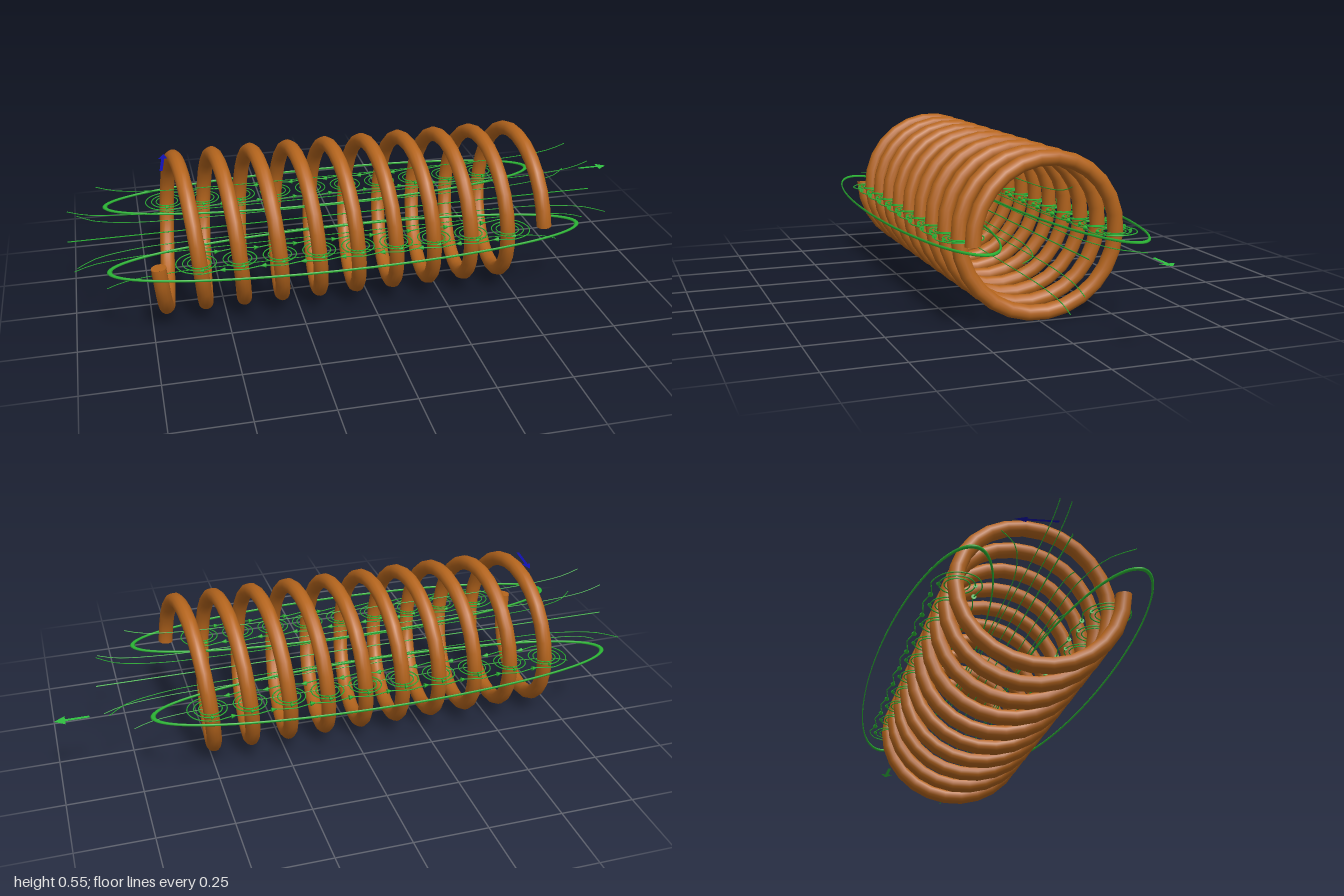
import * as THREE from 'three';

const CY = 0.275;            // height of the coil axis
const PITCH = 0.13, TURNS = 10, START = -0.72;
const R = 0.25, WIRE = 0.025;

const copper = new THREE.MeshStandardMaterial({ color: 0xb5651d });
const green = new THREE.MeshStandardMaterial({ color: 0x2bb535 });
const blue = new THREE.MeshStandardMaterial({ color: 0x1010b0, side: THREE.DoubleSide });
const sheetGreen = new THREE.MeshStandardMaterial({ color: 0x2fc040, side: THREE.DoubleSide });

class Helix extends THREE.Curve {
  getPoint(t, target = new THREE.Vector3()) {
    const a = t * TURNS * Math.PI * 2;
    return target.set(START + PITCH * TURNS * t, CY - R * Math.sin(a), R * Math.cos(a));
  }
}

function add(parent, name, geometry, material) {
  const mesh = new THREE.Mesh(geometry, material);
  mesh.name = name;
  parent.add(mesh);
  return mesh;
}

// thin tube through [x, y, z] points
function line(parent, name, points, closed = false, radius = 0.002) {
  const curve = new THREE.CatmullRomCurve3(points.map(p => new THREE.Vector3(...p)), closed);
  return add(parent, name, new THREE.TubeGeometry(curve, points.length * 6, radius, 5, closed), green);
}

// small cone pointing along +x (dir 1) or -x (dir -1)
function arrowhead(parent, x, z, dir, size = 0.02) {
  const cone = add(parent, 'arrowhead', new THREE.ConeGeometry(size * 0.42, size, 8), green);
  cone.position.set(x, CY, z);
  cone.rotation.z = -dir * Math.PI / 2;
}

// flat arrow lying in the xz plane, pointing along +x
function flatArrow(parent, name, length, width, shaft, head, material) {
  const s = new THREE.Shape();
  const h = length / 2;
  s.moveTo(-h, -shaft / 2);
  s.lineTo(h - head, -shaft / 2);
  s.lineTo(h - head, -width / 2);
  s.lineTo(h, 0);
  s.lineTo(h - head, width / 2);
  s.lineTo(h - head, shaft / 2);
  s.lineTo(-h, shaft / 2);
  s.closePath();
  const geometry = new THREE.ShapeGeometry(s).rotateX(-Math.PI / 2);
  return add(parent, name, geometry, material);
}

function createCoil() {
  const coil = new THREE.Group();
  coil.name = 'coil';
  const helix = new Helix();
  add(coil, 'coilWire', new THREE.TubeGeometry(helix, TURNS * 26, WIRE, 14, false), copper);
  // flat ends of the wire
  for (const t of [0, 1]) {
    const cap = add(coil, 'wireEnd', new THREE.CircleGeometry(WIRE, 14), copper);
    const p = helix.getPoint(t);
    const out = helix.getTangent(t).multiplyScalar(t ? 1 : -1);
    cap.position.copy(p);
    cap.quaternion.setFromUnitVectors(new THREE.Vector3(0, 0, 1), out);
  }
  return coil;
}

// field loops around the row of wires on one side of the coil
function createFieldRow(side) {
  const row = new THREE.Group();
  row.name = side > 0 ? 'frontFieldRow' : 'backFieldRow';
  const zc = 0.245 * side;
  const count = side > 0 ? 9 : 10;
  const first = side > 0 ? START + PITCH : START + PITCH / 2;
  const last = first + (count - 1) * PITCH;

  // long stretched ring, broad at its ends
  const ring = add(row, 'outerFieldLoop', new THREE.TorusGeometry(1, 0.011, 6, 96).rotateX(Math.PI / 2), green);
  ring.scale.set(0.785, 0.4, 0.156);
  ring.position.set(-0.087, CY, zc);

  // small rings around each wire
  for (let i = 0; i < count; i++) {
    const x = first + i * PITCH;
    for (const r of [0.038, 0.054]) {
      const circle = add(row, 'wireFieldRing', new THREE.TorusGeometry(r, 0.002, 5, 28).rotateX(Math.PI / 2), green);
      circle.position.set(x, CY, zc);
    }
    arrowhead(row, x, zc - side * 0.054, 1, 0.016);
    arrowhead(row, x, zc + side * 0.054, -1, 0.016);
  }

  // wavy loop around the whole row
  const wave = [];
  const steps = (count - 1) * 4;
  const offset = i => 0.07 + 0.006 * Math.cos(i * Math.PI / 2);
  for (let i = 0; i <= steps; i++) wave.push([first + i * PITCH / 4, CY, zc + offset(i)]);
  wave.push([last + 0.055, CY, zc + 0.05], [last + 0.075, CY, zc], [last + 0.055, CY, zc - 0.05]);
  for (let i = steps; i >= 0; i--) wave.push([first + i * PITCH / 4, CY, zc - offset(i)]);
  wave.push([first - 0.055, CY, zc - 0.05], [first - 0.075, CY, zc], [first - 0.055, CY, zc + 0.05]);
  line(row, 'wavyFieldLoop', wave, true);
  for (let i = 0; i < count - 1; i++) {
    const x = first + (i + 0.5) * PITCH;
    arrowhead(row, x, zc - side * 0.064, 1);
    arrowhead(row, x, zc + side * 0.064, -1);
  }
  return row;
}

// open lines running through the coil and flaring at the ends
function createInnerLines() {
  const lines = new THREE.Group();
  lines.name = 'innerFieldLines';
  line(lines, 'axisLine', [[-1, CY, 0], [-0.1, CY, 0], [0.85, CY, 0]]);
  const flare = (x0, x1, mid, end) => [
    [x0, end], [x0 + 0.06, mid + (end - mid) * 0.5], [x0 + 0.2, mid + (end - mid) * 0.12], [x0 + 0.4, mid],
    [x1 - 0.4, mid], [x1 - 0.2, mid + (end - mid) * 0.12], [x1 - 0.06, mid + (end - mid) * 0.5], [x1, end],
  ];
  for (const s of [1, -1]) {
    line(lines, 'verticalFieldLine', flare(-0.99, 0.835, 0.075, 0.112).map(([x, d]) => [x, CY + s * d, 0.004]), false, 0.0015);
    line(lines, 'verticalFieldLine', flare(-0.89, 0.74, 0.152, 0.19).map(([x, d]) => [x, CY + s * d, 0.004]), false, 0.0015);
    line(lines, 'horizontalFieldLine', flare(-0.97, 0.83, 0.085, 0.195).map(([x, d]) => [x, CY, s * d]), false, 0.0015);
  }
  return lines;
}

export function createModel() {
  const model = new THREE.Group();
  model.name = 'solenoidWithField';
  model.add(createCoil(), createFieldRow(1), createFieldRow(-1), createInnerLines());

  // flat arrow for the field direction
  const field = flatArrow(model, 'fieldArrow', 0.11, 0.05, 0.012, 0.035, sheetGreen);
  field.position.set(0.945, CY, -0.18);

  // flat arrow for the current, beside the top of the first turn
  const current = flatArrow(model, 'currentArrow', 0.14, 0.03, 0.01, 0.04, blue);
  current.position.set(-0.67, 0.53, 0);
  current.rotation.y = Math.PI / 2 - 0.13;
  return model;
}
